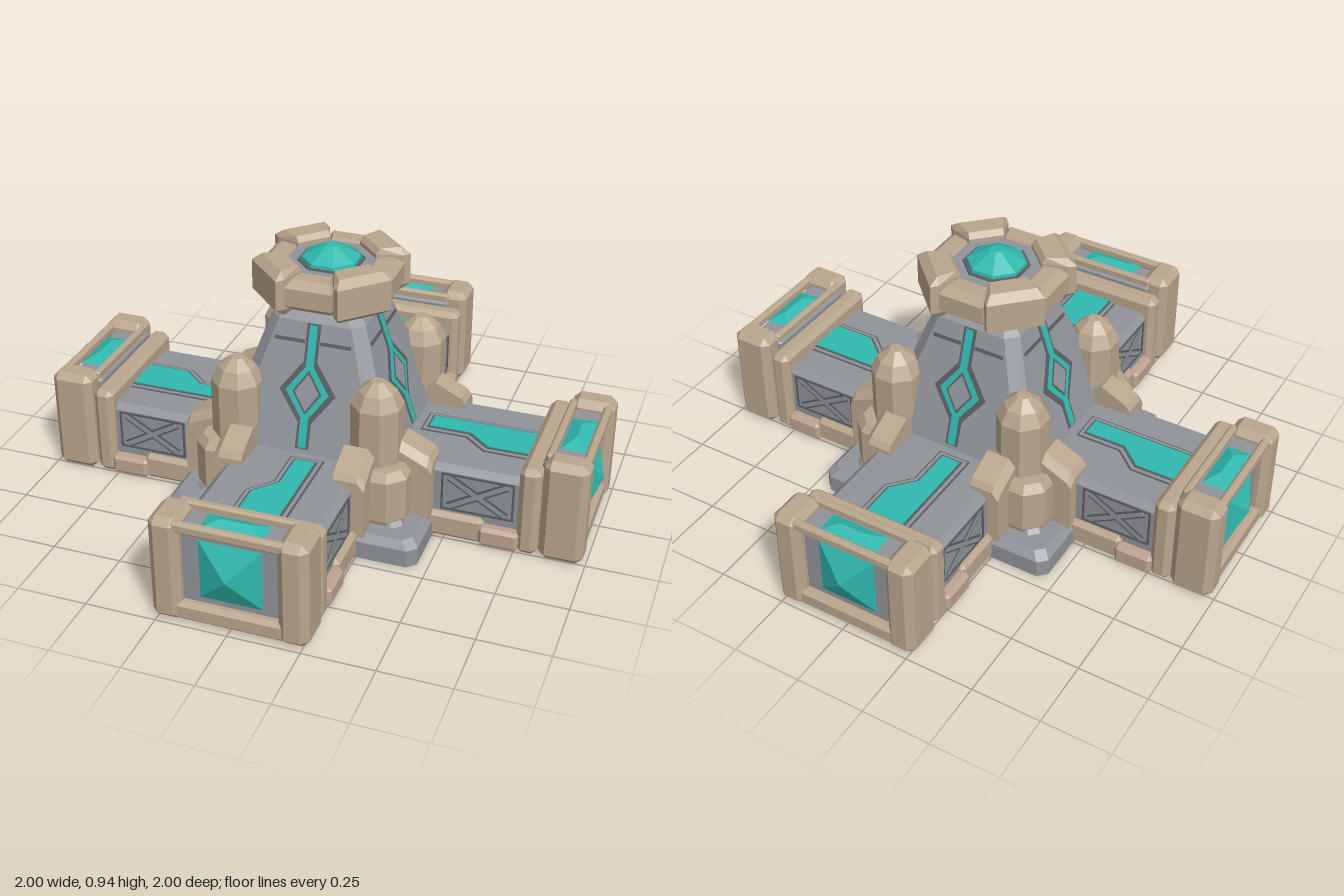
import * as THREE from 'three';
import { ConvexGeometry } from 'three/addons/geometries/ConvexGeometry.js';

const material = (name, color) => {
  const m = new THREE.MeshStandardMaterial({ color });
  m.name = name;
  return m;
};

export function createModel() {
  const stone = material('grey stone', 0x909398);
  const trim = material('tan trim', 0xb9a58c);
  const foot = material('rosy tan foot', 0xbfa291);
  const teal = material('teal crystal', 0x2fb8ae);
  const dark = material('dark groove', 0x5b5e61);

  const model = new THREE.Group();
  model.name = 'outpost';

  const add = (parent, name, geometry, mat) => {
    const mesh = new THREE.Mesh(geometry, mat);
    mesh.name = name;
    parent.add(mesh);
    return mesh;
  };
  const hull = (points) => new ConvexGeometry(points.map((p) => new THREE.Vector3(...p)));

  // Box between two corners with all edges chamfered by c
  const block = (parent, name, mat, [x0, x1], [y0, y1], [z0, z1], c = 0.02) => {
    const pts = [];
    for (const i of [0, 1]) for (const j of [0, 1]) for (const k of [0, 1]) {
      const x = i ? x1 : x0, y = j ? y1 : y0, z = k ? z1 : z0;
      const dx = i ? -c : c, dy = j ? -c : c, dz = k ? -c : c;
      pts.push([x, y + dy, z + dz], [x + dx, y, z + dz], [x + dx, y + dy, z]);
    }
    return add(parent, name, hull(pts), mat);
  };

  // Eight-sided solid from [height, apothem] rings
  const octagon = (parent, name, mat, rings) => {
    const pts = [];
    for (const [y, r] of rings) for (let i = 0; i < 8; i++) {
      const a = (i + 0.5) * Math.PI / 4, R = r / Math.cos(Math.PI / 8);
      pts.push([R * Math.sin(a), y, R * Math.cos(a)]);
    }
    return add(parent, name, hull(pts), mat);
  };

  // Square solid with cut corners from [height, half width, corner cut] rings
  const cutSquare = (parent, name, mat, rings) => {
    const pts = [];
    for (const [y, h, c] of rings) for (const s of [-1, 1]) for (const t of [-1, 1]) {
      pts.push([s * h, y, t * (h - c)], [s * (h - c), y, t * h]);
    }
    return add(parent, name, hull(pts), mat);
  };

  const shape = (pts) => new THREE.Shape(pts.map((p) => new THREE.Vector2(...p)));
  const plate = (s, depth) => new THREE.ExtrudeGeometry(s, { depth, bevelEnabled: false });

  // Central base and tapering tower
  cutSquare(model, 'basePlinth', stone, [[0, 0.46, 0.03], [0.065, 0.46, 0.03], [0.09, 0.435, 0.03]]);
  cutSquare(model, 'plinthStep', stone, [[0.08, 0.39, 0.03], [0.11, 0.37, 0.03]]);
  cutSquare(model, 'tower', stone,
    [[0.1, 0.32, 0.05], [0.28, 0.315, 0.05], [0.715, 0.17, 0.04], [0.75, 0.13, 0.03]]);
  octagon(model, 'towerNeck', dark, [[0.73, 0.13], [0.78, 0.2]]);

  // Crown with eight blocks around a gem
  octagon(model, 'crownCore', stone, [[0.765, 0.19], [0.88, 0.19]]);
  octagon(model, 'gemSeat', dark, [[0.87, 0.112], [0.884, 0.108]]);
  octagon(model, 'crownGem', teal, [[0.88, 0.098], [0.895, 0.095], [0.93, 0.035], [0.938, 0.022]]);
  for (let i = 0; i < 8; i++) {
    const big = i % 2 === 1;
    const [w, r, y0, y1] = big ? [0.1, 0.255, 0.75, 0.915] : [0.083, 0.238, 0.77, 0.89];
    const inner = 0.14, wi = big ? 0.062 : 0.052, pts = [];
    for (const s of [-1, 1]) {
      pts.push([s * w, y0 + 0.03, r], [s * w, y1 - 0.025, r], [s * w * 0.8, y1, r - 0.03],
        [s * w * 0.8, y0, r - 0.04], [s * w, y0 + 0.03, r - 0.03], [s * w, y1 - 0.025, r - 0.03],
        [s * wi, y1, inner + 0.015], [s * wi, y1 - 0.02, inner], [s * wi, y0 + 0.02, inner]);
    }
    add(model, 'crownBlock', hull(pts), trim).rotation.y = i * Math.PI / 4;
  }

  const tilt = Math.atan(1 / 3);
  const diamond = (w, h) => [[0, -h], [w, 0], [0, h], [-w, 0]];
  // Diamond with a stem above and below
  const rune = (w, h, s, top, bottom) => {
    const k = h * (1 - s / w);
    return [[-s, bottom], [s, bottom], [s, -k], [w, 0], [s, k], [s, top], [-s, top], [-s, k], [-w, 0], [-s, -k]];
  };

  // Top inlay outline; m is the margin round it
  const inlay = (m) => shape([[-m, 0.37 - m], [0.07 + m, 0.37 - m], [0.07 + m, 0.755], [-0.07 - m, 0.755],
    [-0.07 - m, 0.6 - m * 0.4], [-m, 0.52 - m * 0.4]]);

  for (let q = 0; q < 4; q++) {
    const quarter = new THREE.Group();
    quarter.name = 'quarter';
    quarter.rotation.y = q * Math.PI / 2;
    model.add(quarter);

    // Arm body with stepped inlay on its roof
    const arm = new THREE.Group();
    arm.name = 'arm';
    quarter.add(arm);
    block(arm, 'armBody', stone, [-0.23, 0.23], [0, 0.28], [0.1, 0.8], 0.022);
    [[0.026, 0.002, dark], [0.02, 0.004, stone], [0.008, 0.006, dark], [0, 0.009, teal]].forEach(([m, h, mat]) => {
      const strip = add(arm, 'roofInlay', plate(inlay(m), h), mat);
      strip.rotation.x = Math.PI / 2;
      strip.position.y = 0.28 + h;
    });

    // Rib and end frame
    block(arm, 'rib', trim, [-0.26, 0.26], [0, 0.34], [0.755, 0.83], 0.02);
    block(arm, 'endCore', stone, [-0.2, 0.2], [0.01, 0.355], [0.82, 0.95], 0.01);
    for (const s of [-1, 1]) {
      block(arm, 'endPost', trim, s < 0 ? [-0.27, -0.165] : [0.165, 0.27], [0, 0.39], [0.835, 0.99], 0.025);
    }
    block(arm, 'endSill', trim, [-0.2, 0.2], [0.003, 0.075], [0.835, 0.98], 0.015);
    block(arm, 'endLintel', trim, [-0.2, 0.2], [0.34, 0.383], [0.95, 0.98], 0.01);
    block(arm, 'endBackBar', trim, [-0.2, 0.2], [0.3, 0.383], [0.828, 0.855], 0.008);

    // Faceted gems in the end frame
    add(arm, 'endGem', hull([[-0.112, 0.09, 0.948], [0.112, 0.09, 0.948], [-0.112, 0.32, 0.948],
      [0.112, 0.32, 0.948], [0, 0.205, 1]]), teal);
    add(arm, 'roofGem', hull([[-0.11, 0.354, 0.857], [0.11, 0.354, 0.857], [-0.11, 0.354, 0.948],
      [0.11, 0.354, 0.948], [-0.05, 0.378, 0.902], [0.05, 0.378, 0.902]]), teal);

    // Side skirts, feet, clamps and crossed panels, mirrored
    for (const s of [-1, 1]) {
      const span = (a, b) => (s < 0 ? [-b, -a] : [a, b]);
      block(arm, 'skirt', trim, span(0.2, 0.252), [0.003, 0.1], [0.3, 0.64], 0.015);
      block(arm, 'foot', foot, span(0.2, 0.268), [0.008, 0.08], [0.625, 0.765], 0.012);
      const pts = [];
      for (const [x, d] of [[0.165, 0], [0.25, 0], [0.275, 0.03]]) {
        pts.push([s * x, 0.08, 0.455], [s * x, 0.295 - d, 0.455], [s * x, 0.318 - d, 0.44],
          [s * x, 0.365 - d, 0.34], [s * x, 0.345 - d, 0.31], [s * x, 0.08, 0.31]);
      }
      add(arm, 'clamp', hull(pts), trim);

      const panel = new THREE.Group();
      panel.name = 'crossPanel';
      panel.position.set(s * 0.231, 0.182, 0.61);
      panel.rotation.y = s * Math.PI / 2;
      arm.add(panel);
      const bar = (w, h, x, y, a, mat, t) => {
        const b = add(panel, 'panelLine', new THREE.BoxGeometry(w, h, t), mat);
        b.position.set(x, y, 0);
        b.rotation.z = a;
      };
      for (const t of [-1, 1]) {
        bar(0.25, 0.007, 0, t * 0.07, 0, dark, 0.006);
        bar(0.007, 0.147, t * 0.125, 0, 0, dark, 0.006);
        bar(0.235, 0.03, 0, 0, t * 0.53, dark, 0.006);
        bar(0.235, 0.016, 0, 0, t * 0.53, stone, 0.009);
      }
    }

    // Glowing rune on the sloped tower face
    const face = new THREE.Group();
    face.name = 'towerRune';
    face.position.set(0, 0.485, 0.247);
    face.rotation.x = -tilt;
    quarter.add(face);
    add(face, 'runeGroove', plate(shape(rune(0.102, 0.14, 0.024, 0.24, -0.2)), 0.003), dark);
    add(face, 'runeLight', plate(shape(rune(0.078, 0.11, 0.014, 0.235, -0.195)), 0.006), teal);
    add(face, 'runeInnerEdge', plate(shape(diamond(0.052, 0.078)), 0.008), dark);
    add(face, 'runeCentre', plate(shape(diamond(0.044, 0.066)), 0.009), stone);
    for (const s of [-1, 1]) {
      add(face, 'towerGroove', new THREE.BoxGeometry(0.11, 0.012, 0.006), dark).position.set(s * 0.083, 0.175, 0);
    }

    // Corner buttress with a pointed pillar
    const corner = new THREE.Group();
    corner.name = 'cornerPillar';
    corner.position.set(0.255, 0, 0.255);
    corner.rotation.y = Math.PI / 4;
    quarter.add(corner);
    octagon(corner, 'pillar', trim, [[0.2, 0.07], [0.28, 0.086], [0.5, 0.086], [0.55, 0.062], [0.585, 0.022]]);
    octagon(corner, 'pillarBase', trim, [[0.09, 0.085], [0.11, 0.092], [0.265, 0.092], [0.295, 0.07]])
      .position.z = 0.055;
  }
  return model;
}
